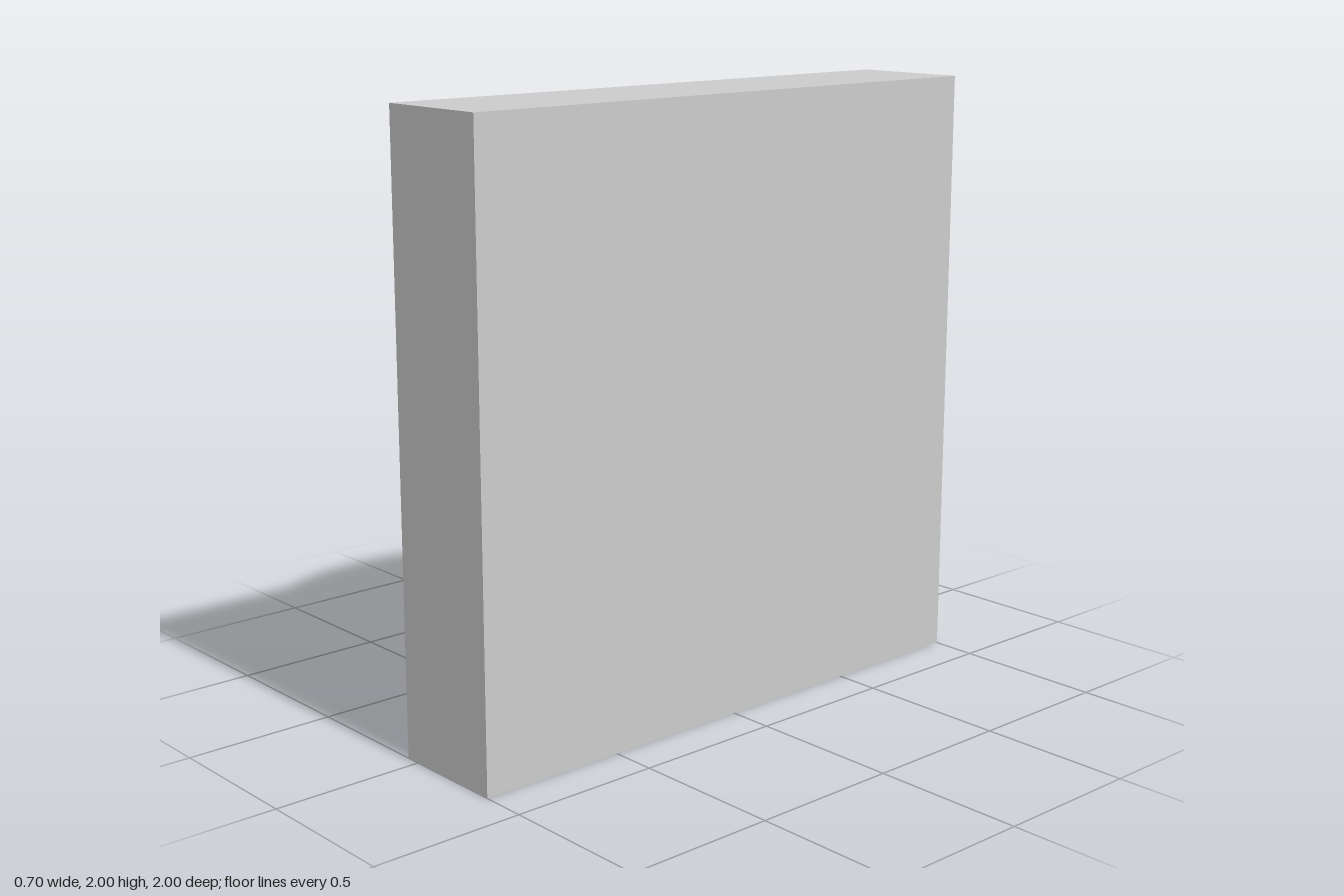
import * as THREE from 'three';

export function createModel() {
  const model = new THREE.Group();
  const material = new THREE.MeshStandardMaterial({ color: 0xcccccc });

  const addPart = (name, geometry, x) => {
    const mesh = new THREE.Mesh(geometry, material);
    mesh.name = name;
    mesh.position.set(x, 1, 0);
    model.add(mesh);
  };

  // Square upright plate
  addPart('plate', new THREE.BoxGeometry(0.4, 2, 2), 0.15);

  // Round disc on the plate's -x face, axis along x
  addPart('disc', new THREE.CylinderGeometry(0.75, 0.75, 0.3, 32).rotateZ(Math.PI / 2), -0.2);

  return model;
}
